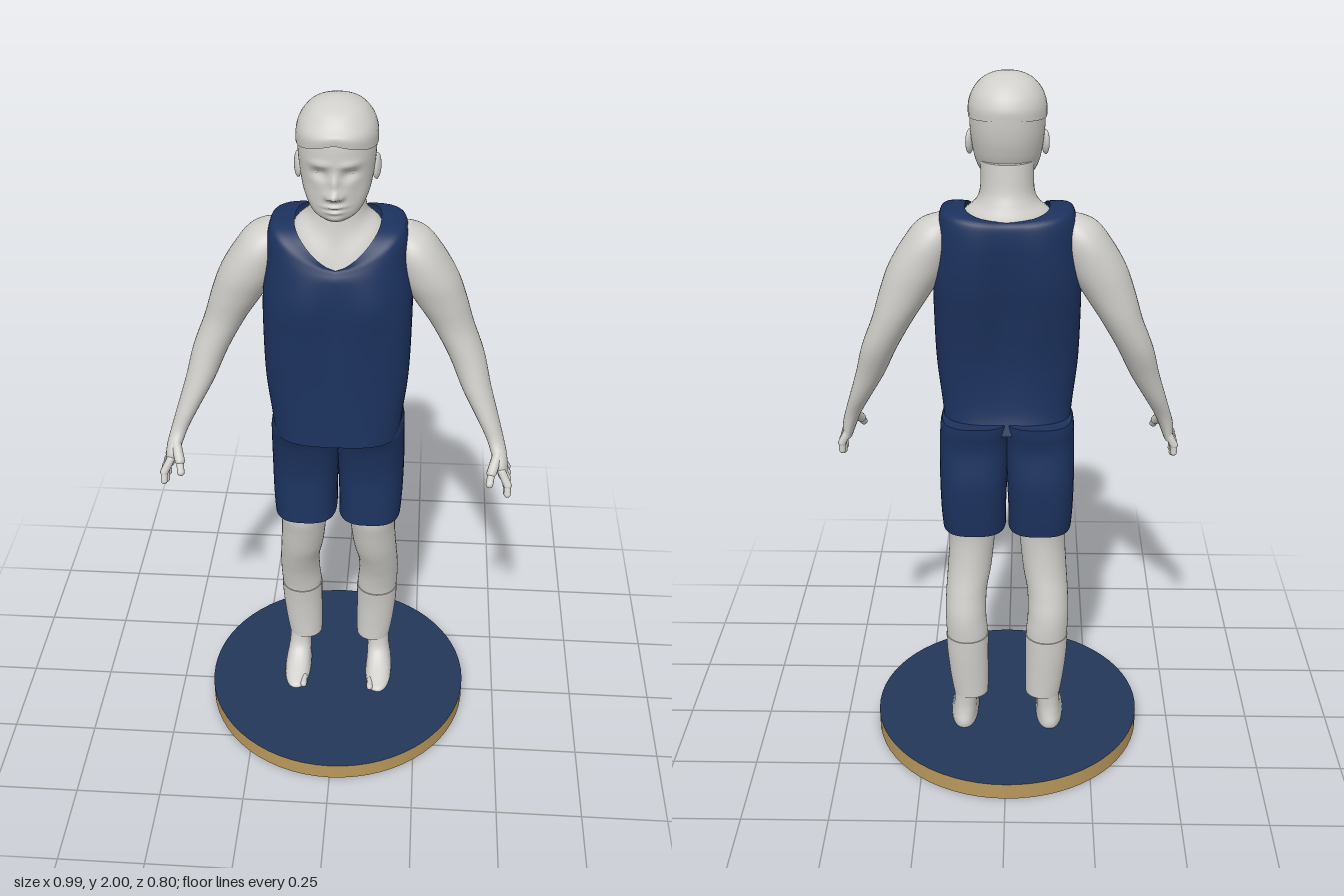
import * as THREE from 'three';

const mat = (name, color, side = THREE.FrontSide) =>
  Object.assign(new THREE.MeshStandardMaterial({ color, side }), { name });

// Catmull-Rom blend of whole section rows, t in 0..1 along the list
function sectionAt(rows, t) {
  const u = t * (rows.length - 1), i = Math.min(Math.floor(u), rows.length - 2), f = u - i;
  const row = (k) => rows[Math.max(0, Math.min(rows.length - 1, k))];
  const [a, b, c, d] = [row(i - 1), row(i), row(i + 1), row(i + 2)];
  return b.map((q, k) => q + 0.5 * f * (c[k] - a[k] + f * (2 * a[k] - 5 * q + 4 * c[k] - d[k]
    + f * (3 * (q - c[k]) + d[k] - a[k]))));
}

// Loft from bottom to top. Row: [y, centreX, halfWidth, zFront, zBack, dipFront, dipBack]
// n: squareness of the rings; sculpt: optional rule moving each point
function loft(rows, { n = 2, steps = 6, segs = 36, side = 1, cap = true, sculpt } = {}) {
  const full = rows.map((r) => [...r, 0, 0].slice(0, 7));
  const count = (rows.length - 1) * steps, pos = [], index = [];
  const pw = (v) => Math.sign(v) * Math.abs(v) ** (2 / n);
  const p = new THREE.Vector3();
  for (let i = 0; i <= count; i++) {
    const [y, cx, rx, zf, zb, df, db] = sectionAt(full, i / count);
    for (let j = 0; j < segs; j++) {
      const a = (j / segs) * Math.PI * 2, c = Math.cos(a), s = Math.sin(a);
      const dip = (s > 0 ? df : db) * (1 - Math.abs(c));
      p.set(side * cx + rx * pw(c), y - dip, (zf + zb) / 2 + ((zf - zb) / 2) * pw(s));
      if (sculpt) sculpt(p, s);
      pos.push(p.x, p.y, p.z);
    }
  }
  for (let i = 0; i < count; i++) for (let j = 0; j < segs; j++) {
    const k = (j + 1) % segs, a = i * segs + j, b = a + segs, c = i * segs + k, d = c + segs;
    index.push(a, b, c, c, b, d);
  }
  // Flat end caps on their own vertices
  if (cap) for (const ring of [0, count]) {
    const start = pos.length / 3, mid = [0, 0, 0];
    for (let j = 0; j < segs; j++) for (let k = 0; k < 3; k++) {
      const v = pos[(ring * segs + j) * 3 + k];
      pos.push(v);
      mid[k] += v / segs;
    }
    pos.push(...mid);
    for (let j = 0; j < segs; j++) {
      const a = start + j, b = start + (j + 1) % segs, m = start + segs;
      index.push(...(ring ? [a, m, b] : [a, b, m]));
    }
  }
  const g = new THREE.BufferGeometry();
  g.setAttribute('position', new THREE.Float32BufferAttribute(pos, 3));
  g.setIndex(index);
  g.computeVertexNormals();
  return g;
}

const bell = (d, w) => Math.exp(-(d * d) / (w * w));

// Face relief: [x, y, widthX, widthY, push], mirrored where x is not 0
const FACE = [
  [0, 1.785, 0.014, 0.013, 0.028], [0, 1.815, 0.011, 0.025, 0.016], [0.016, 1.779, 0.008, 0.008, 0.01],
  [0.038, 1.836, 0.02, 0.014, -0.014], [0.036, 1.862, 0.026, 0.009, 0.006],
  [0, 1.752, 0.025, 0.006, 0.01], [0, 1.738, 0.021, 0.006, 0.009], [0, 1.745, 0.024, 0.003, -0.005],
  [0, 1.716, 0.02, 0.01, 0.006], [0.058, 1.79, 0.016, 0.035, -0.005],
];
function sculptFace(p, s) {
  if (s <= 0) return;
  let push = 0;
  for (const [x, y, wx, wy, h] of FACE) push += h * bell(Math.abs(p.x) - x, wx) * bell(p.y - y, wy);
  p.z += push;
}

// Chest swell in front, spine groove and shoulder blades behind
function sculptTorso(p, s) {
  if (s > 0) p.z += 0.01 * bell(Math.abs(p.x) - 0.085, 0.06) * bell(p.y - 1.46, 0.07) - 0.008 * bell(p.x, 0.03) * bell(p.y - 1.4, 0.14);
  else p.z += 0.024 * bell(p.x, 0.045) * bell(p.y - 1.4, 0.25);
}

export function createModel() {
  const model = new THREE.Group();
  model.name = 'standingAthlete';
  const skin = mat('paleGrey', 0xd0cfcb);
  const cloth = mat('navyCloth', 0x1c325e, THREE.DoubleSide);
  const baseTop = mat('navyBase', 0x233759);
  const gold = mat('goldRim', 0xb8985c);

  const add = (name, geometry, material, parent = model) => {
    const m = new THREE.Mesh(geometry, material);
    m.name = name;
    parent.add(m);
    return m;
  };
  const rod = (name, a, b, r, parent) => {
    const A = new THREE.Vector3(...a), B = new THREE.Vector3(...b), d = B.clone().sub(A);
    const m = add(name, new THREE.CapsuleGeometry(r, d.length(), 5, 12), skin, parent);
    m.position.copy(A).add(B).multiplyScalar(0.5);
    m.quaternion.setFromUnitVectors(new THREE.Vector3(0, 1, 0), d.normalize());
  };

  // Round stand
  const stand = add('stand', new THREE.CylinderGeometry(0.4, 0.4, 0.05, 64), [gold, baseTop, baseTop]);
  stand.position.y = 0.025;

  // Head, hair cap and neck
  add('head', loft([
    [1.706, 0, 0.035, 0.112, 0.03], [1.725, 0, 0.062, 0.126, -0.01], [1.765, 0, 0.083, 0.13, -0.06],
    [1.82, 0, 0.094, 0.131, -0.085], [1.88, 0, 0.099, 0.135, -0.096], [1.93, 0, 0.095, 0.128, -0.094],
    [1.97, 0, 0.07, 0.098, -0.066], [1.99, 0, 0.03, 0.05, -0.02],
  ], { n: 2.15, steps: 10, segs: 80, sculpt: sculptFace }), skin);
  add('hairCap', loft([
    [1.888, 0, 0.103, 0.141, -0.1, -0.028, -0.008], [1.92, 0, 0.102, 0.142, -0.1, -0.015, 0],
    [1.95, 0, 0.092, 0.126, -0.087], [1.978, 0, 0.069, 0.098, -0.06],
    [1.994, 0, 0.038, 0.06, -0.02], [2.0, 0, 0.004, 0.024, 0.016],
  ], { n: 2.15 }), skin);
  add('neck', loft([
    [1.52, 0, 0.13, 0.1, -0.12, 0.06, 0], [1.6, 0, 0.13, 0.098, -0.125, 0.07, 0.01],
    [1.645, 0, 0.115, 0.09, -0.125, 0.085, 0.01], [1.675, 0, 0.083, 0.066, -0.108, 0.04, 0],
    [1.71, 0, 0.071, 0.056, -0.094], [1.78, 0, 0.07, 0.05, -0.085],
  ], { steps: 5 }), skin);

  // Sleeveless top, ending in a scooped neckline
  add('jersey', loft([
    [1.03, 0, 0.176, 0.132, -0.125], [1.1, 0, 0.183, 0.13, -0.108], [1.22, 0, 0.196, 0.13, -0.108],
    [1.36, 0, 0.2, 0.134, -0.13], [1.46, 0, 0.199, 0.132, -0.148], [1.56, 0, 0.188, 0.125, -0.155, 0.03, 0],
    [1.635, 0, 0.181, 0.115, -0.15, 0.08, 0.015], [1.658, 0, 0.162, 0.108, -0.14, 0.095, 0.02],
    [1.66, 0, 0.112, 0.1, -0.128, 0.1, 0.02],
  ], { n: 3, segs: 72, cap: false, sculpt: sculptTorso }), cloth);

  for (const [label, side] of [['left', 1], ['right', -1]]) {
    // Ear and eye
    const ear = add(label + 'Ear', new THREE.SphereGeometry(1, 16, 12), skin);
    ear.scale.set(0.01, 0.034, 0.02);
    ear.position.set(side * 0.099, 1.818, 0.018);
    ear.rotation.set(-0.15, side * -0.3, 0);
    const eye = add(label + 'Eye', new THREE.SphereGeometry(1, 16, 12), skin);
    eye.scale.set(0.014, 0.007, 0.009);
    eye.position.set(side * 0.037, 1.838, 0.103);

    // Arm from palm to shoulder
    const arm = new THREE.Group();
    arm.name = label + 'Arm';
    model.add(arm);
    add(label + 'ArmSkin', loft([
      [0.94, 0.468, 0.014, 0.128, 0.04], [0.985, 0.458, 0.021, 0.122, 0.032], [1.03, 0.443, 0.024, 0.088, 0.018],
      [1.09, 0.418, 0.031, 0.074, -0.012], [1.17, 0.384, 0.041, 0.058, -0.045], [1.26, 0.352, 0.05, 0.042, -0.082],
      [1.35, 0.31, 0.058, 0.036, -0.104], [1.43, 0.272, 0.072, 0.048, -0.113], [1.5, 0.238, 0.08, 0.06, -0.118],
      [1.57, 0.206, 0.07, 0.058, -0.115], [1.615, 0.187, 0.052, 0.035, -0.095], [1.638, 0.172, 0.02, -0.01, -0.06],
    ], { side, n: 2.1 }), skin, arm);
    // Fingers: [base z, knuckle z, tip z, tip y]
    [[0.12, 0.136, 0.146, 0.905], [0.096, 0.104, 0.112, 0.887], [0.072, 0.074, 0.08, 0.888], [0.05, 0.045, 0.044, 0.905]]
      .forEach(([z0, z1, z2, y], i) => {
        rod(`${label}Finger${i + 1}`, [side * 0.464, 0.962, z0], [side * 0.482, 0.928, z1], 0.0115, arm);
        rod(`${label}Fingertip${i + 1}`, [side * 0.482, 0.928, z1], [side * 0.482, y, z2], 0.0098, arm);
      });
    rod(label + 'ThumbBase', [side * 0.45, 1.0, 0.095], [side * 0.435, 0.968, 0.135], 0.014, arm);
    rod(label + 'Thumb', [side * 0.435, 0.968, 0.135], [side * 0.43, 0.945, 0.158], 0.0105, arm);

    // Shorts leg
    add(label + 'ShortsLeg', loft([
      [0.72, 0.094, 0.091, 0.08, -0.138], [0.78, 0.096, 0.093, 0.076, -0.145], [0.88, 0.095, 0.096, 0.07, -0.15],
      [0.98, 0.092, 0.098, 0.085, -0.138], [1.035, 0.088, 0.1, 0.105, -0.145], [1.06, 0.086, 0.096, 0.095, -0.147],
    ], { side, n: 2.8 }), cloth);

    // Leg, sock and bare foot
    add(label + 'Leg', loft([
      [0.15, 0.123, 0.036, -0.048, -0.13], [0.34, 0.118, 0.059, -0.03, -0.143], [0.43, 0.122, 0.06, -0.012, -0.143],
      [0.5, 0.12, 0.06, 0.012, -0.128], [0.57, 0.111, 0.064, 0.038, -0.112], [0.65, 0.104, 0.066, 0.058, -0.104],
      [0.71, 0.102, 0.069, 0.07, -0.106], [0.78, 0.098, 0.074, 0.066, -0.12],
    ], { side }), skin);
    add(label + 'Sock', loft([
      [0.16, 0.109, 0.052, -0.038, -0.137], [0.22, 0.113, 0.057, -0.037, -0.14],
      [0.3, 0.117, 0.061, -0.032, -0.145], [0.363, 0.118, 0.063, -0.024, -0.147],
    ], { side }), skin);
    add(label + 'Foot', loft([
      [0.03, 0.13, 0.038, 0.075, -0.13], [0.055, 0.13, 0.041, 0.08, -0.138], [0.072, 0.13, 0.039, 0.048, -0.138],
      [0.095, 0.128, 0.036, -0.002, -0.132], [0.125, 0.126, 0.034, -0.036, -0.128], [0.18, 0.122, 0.035, -0.048, -0.13],
    ], { side, n: 2.3 }), skin);
    for (let i = 0; i < 5; i++) {
      const x = side * (0.106 + i * 0.013), z = 0.068 - i * 0.008;
      rod(`${label}Toe${i + 1}`, [x, 0.06, z - 0.03], [x, 0.057, z], i ? 0.0075 : 0.01, model);
    }
  }
  return model;
}
